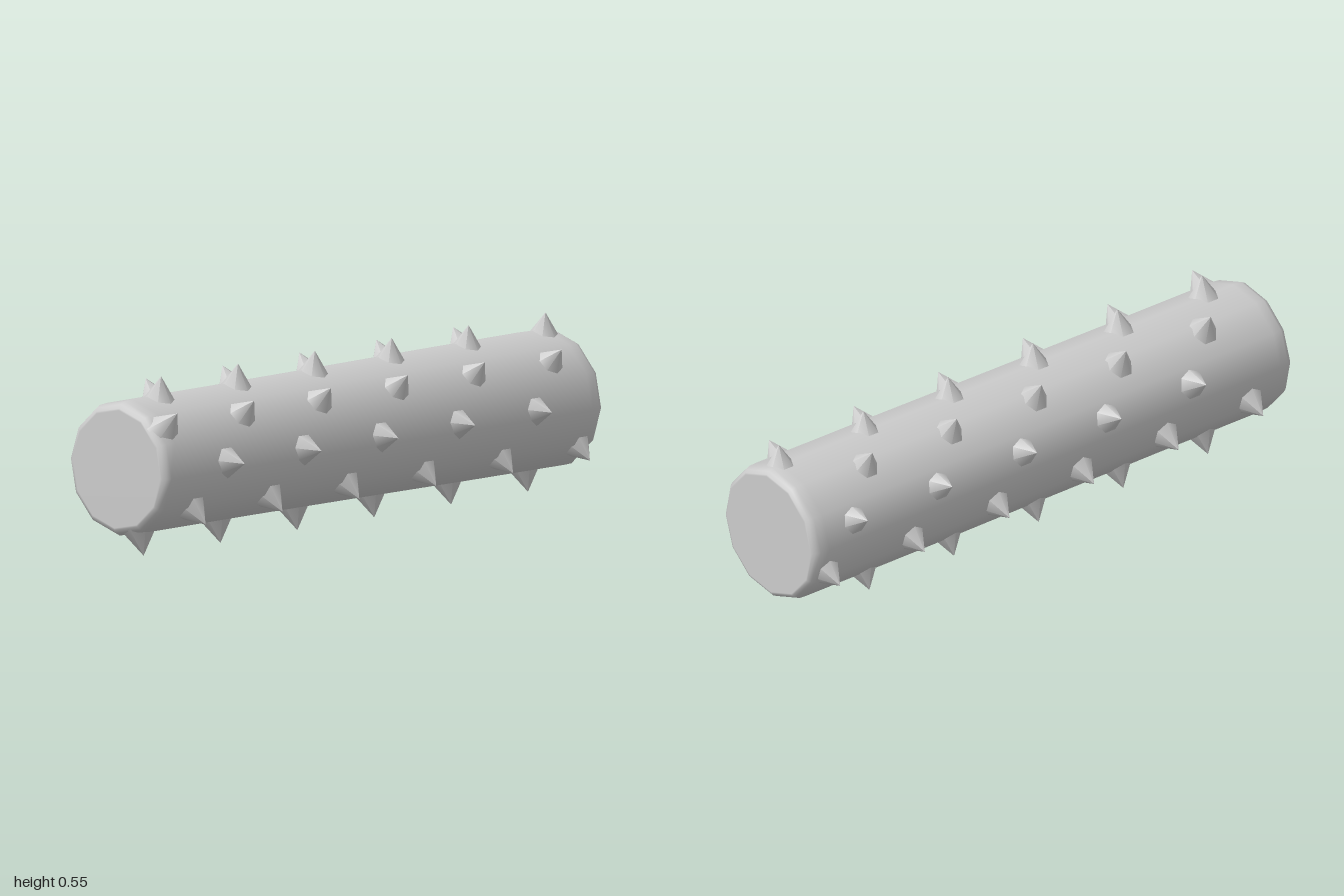
import * as THREE from 'three';

const AXIS_Y = 0.276, AXIS_Z = -0.005;
const deg = THREE.MathUtils.degToRad;

export function createModel() {
  const model = new THREE.Group();
  model.name = 'spikedRoller';
  const material = new THREE.MeshStandardMaterial({ color: 0xcccccc });

  // Twelve-sided log with flat ends, soft rims and a very slight taper
  const profile = [
    [0, -1], [0.188, -1], [0.194, -0.999], [0.206, -0.99], [0.214, -0.975], [0.217, -0.94],
    [0.217, -0.5], [0.219, 0], [0.222, 0.5],
    [0.223, 0.94], [0.222, 0.975], [0.215, 0.99], [0.206, 0.999], [0.2, 1], [0, 1],
  ].map(([r, h]) => new THREE.Vector2(r, h));
  const bodyGeometry = new THREE.LatheGeometry(profile, 12);
  bodyGeometry.rotateZ(-Math.PI / 2).rotateX(deg(3));
  const body = new THREE.Mesh(bodyGeometry, material);
  body.name = 'body';
  body.position.set(0, AXIS_Y, AXIS_Z);
  model.add(body);

  // One spike: a small cone whose base is sunk into the log
  const spikeGeometry = new THREE.ConeGeometry(0.06, 0.09, 7, 1, true);
  spikeGeometry.translate(0, 0.281 - 0.045, 0);

  // Nine rows around the log, in three repeating staggered offsets
  const offsets = [
    { start: -0.83, count: 6 },
    { start: -0.94, count: 6 },
    { start: -0.712, count: 5 },
  ];
  for (let row = 0; row < 9; row++) {
    const { start, count } = offsets[row % 3];
    const spikes = new THREE.Group();
    spikes.name = `spikeRow${row + 1}`;
    spikes.position.set(0, AXIS_Y, AXIS_Z);
    spikes.rotation.x = deg(6.5 + 40.3 * row);
    // The eighth row has no spike at its first place
    for (let i = row === 7 ? 1 : 0; i < count; i++) {
      const spike = new THREE.Mesh(spikeGeometry, material);
      spike.name = 'spike';
      spike.position.x = start + 0.352 * i;
      spikes.add(spike);
    }
    model.add(spikes);
  }
  return model;
}
